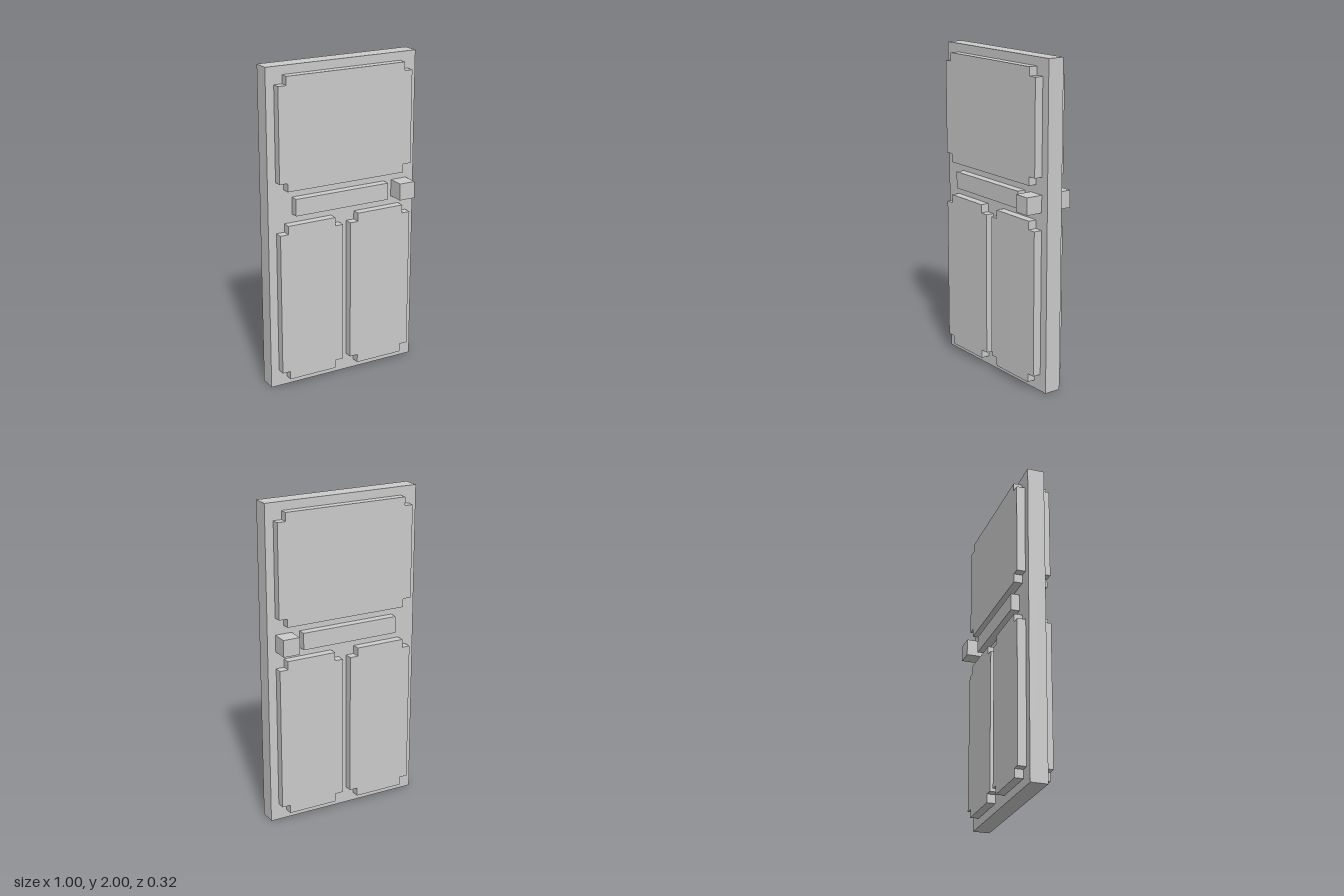
import * as THREE from 'three';

const U = 2 / 38; // the door is laid out on a grid 19 wide and 38 high
const material = new THREE.MeshStandardMaterial({ color: 0xcccccc, flatShading: true });

// Rectangle outline with a square notch cut out of every corner
function notchedShape(x0, x1, y0, y1, n) {
  return new THREE.Shape([
    [x0 + n, y0], [x1 - n, y0], [x1 - n, y0 + n], [x1, y0 + n],
    [x1, y1 - n], [x1 - n, y1 - n], [x1 - n, y1], [x0 + n, y1],
    [x0 + n, y1 - n], [x0, y1 - n], [x0, y0 + n], [x0 + n, y0 + n],
  ].map(([x, y]) => new THREE.Vector2(x * U, y * U)));
}

export function createModel() {
  const door = new THREE.Group();
  door.name = 'door';

  const add = (parent, name, geometry) => {
    const mesh = new THREE.Mesh(geometry, material);
    mesh.name = name;
    parent.add(mesh);
    return mesh;
  };
  const addBox = (parent, name, x0, x1, y0, y1, z0, z1) =>
    add(parent, name, new THREE.BoxGeometry((x1 - x0) * U, (y1 - y0) * U, (z1 - z0) * U))
      .position.set((x0 + x1) / 2 * U, (y0 + y1) / 2 * U, (z0 + z1) / 2 * U);
  const addPanel = (parent, name, x0, x1, y0, y1, z0) => {
    const geometry = new THREE.ExtrudeGeometry(notchedShape(x0, x1, y0, y1, 1), { depth: U, bevelEnabled: false });
    add(parent, name, geometry).position.z = z0 * U;
  };

  // Main slab
  addBox(door, 'slab', -9.5, 9.5, 0, 38, -1, 1);

  // Raised panels, rail and knob on both faces
  for (const [side, z] of [['front', 1], ['back', -2]]) {
    const face = new THREE.Group();
    face.name = side + 'Face';
    addPanel(face, side + 'UpperPanel', -8.5, 8.5, 24, 37, z);
    addPanel(face, side + 'LowerRightPanel', -8.5, -0.5, 1, 20, z);
    addPanel(face, side + 'LowerLeftPanel', 0.5, 8.5, 1, 20, z);
    addBox(face, side + 'Rail', -6.5, 5.5, 21, 23, z, z + 1);
    const knobZ = z > 0 ? 1 : -3;
    addBox(face, side + 'Knob', 6.5, 8.5, 21, 23, knobZ, knobZ + 2);
    door.add(face);
  }
  return door;
}
